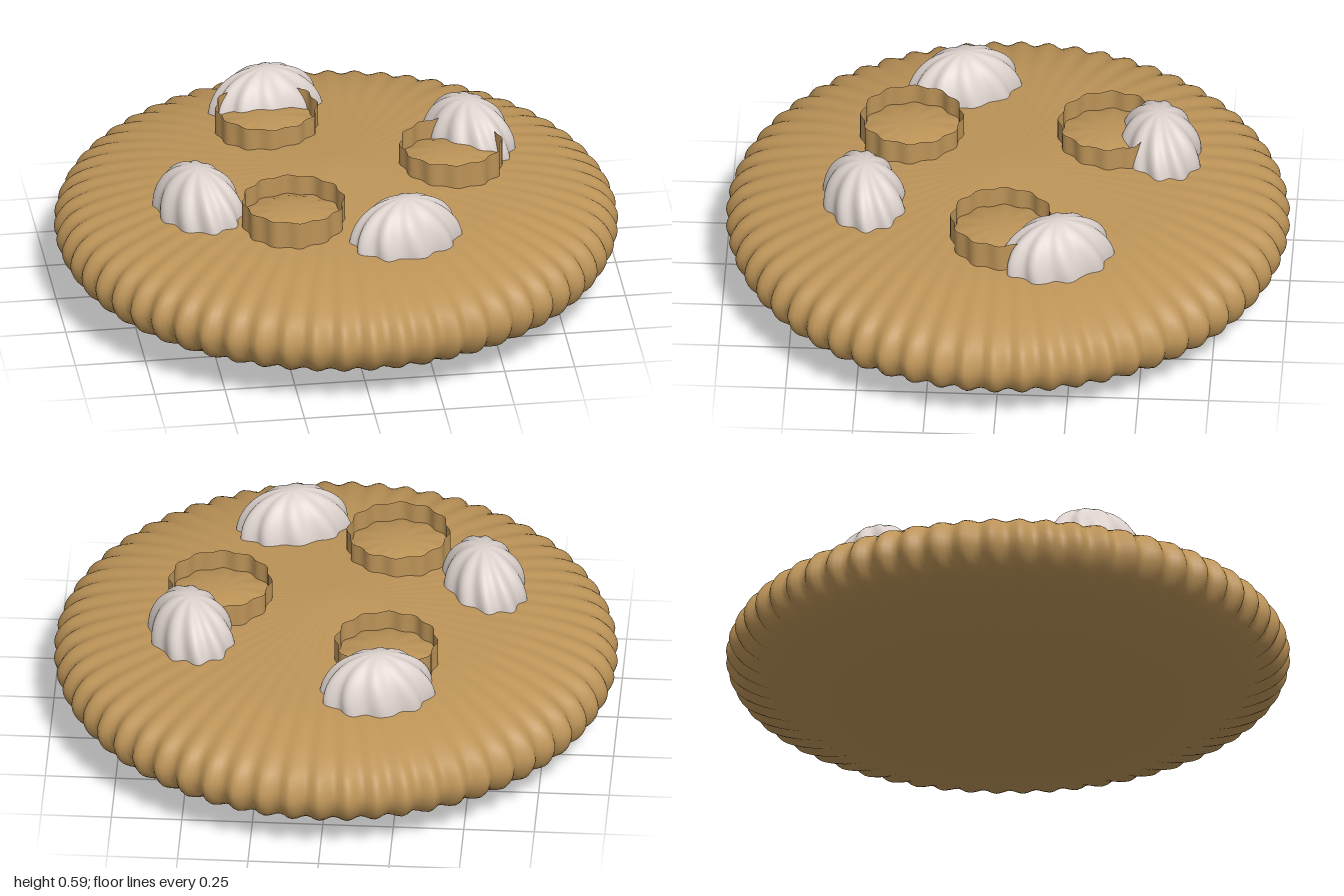
import * as THREE from 'three';
import { mergeVertices } from 'three/addons/utils/BufferGeometryUtils.js';

// Lathe whose radius is rippled around the axis; twist swirls the ripples with height
function ribbed(profile, lobes, amp, segments, twist = 0) {
  let geo = new THREE.LatheGeometry(profile, segments);
  const p = geo.attributes.position;
  for (let i = 0; i < p.count; i++) {
    const x = p.getX(i), z = p.getZ(i);
    const k = 1 + amp * Math.cos(lobes * (Math.atan2(x, z) + twist * p.getY(i)));
    p.setX(i, x * k);
    p.setZ(i, z * k);
  }
  geo.deleteAttribute('uv');
  geo.deleteAttribute('normal');
  geo = mergeVertices(geo, 1e-5);
  geo.computeVertexNormals();
  return geo;
}

const points = (list) => list.map(([x, y]) => new THREE.Vector2(x, y));

export function createModel() {
  const group = new THREE.Group();
  const crust = new THREE.MeshStandardMaterial({ name: 'golden crust', color: 0xbd9458 });
  const rimMat = new THREE.MeshStandardMaterial({ name: 'golden rim', color: 0xbd9458, side: THREE.DoubleSide });
  const cream = new THREE.MeshStandardMaterial({ name: 'cream', color: 0xddd2cd });

  const add = (parent, name, geo, mat) => {
    const mesh = new THREE.Mesh(geo, mat);
    mesh.name = name;
    parent.add(mesh);
    return mesh;
  };

  // Fluted lens-shaped base, coming to a shallow point above and below
  const half = [[0.33, 0.207], [0.63, 0.183], [0.8, 0.148], [0.905, 0.11], [0.96, 0.066], [0.985, 0]];
  const outline = [
    [0, 0],
    ...half.map(([r, h]) => [r, 0.24 - h]),
    ...half.slice(0, -1).reverse().map(([r, h]) => [r, 0.24 + h]),
    [0, 0.475],
  ];
  const basePoints = new THREE.SplineCurve(points(outline)).getPoints(36);
  basePoints.forEach((v) => { v.x = Math.max(0, v.x); });
  add(group, 'base', ribbed(basePoints, 60, 0.015, 360), crust);

  // Round scalloped slices: a standing rim around a gently domed filling
  const rimGeo = ribbed(points([[0.178, 0.39], [0.178, 0.46], [0.178, 0.53]]), 12, 0.035, 96);
  const fillGeo = ribbed(points([[0.177, 0.456], [0.13, 0.474], [0.07, 0.486], [0, 0.49]]), 12, 0.035, 96);
  for (const [x, z] of [[-0.2, -0.35], [0.41, 0], [-0.2, 0.35]]) {
    const slice = new THREE.Group();
    slice.name = 'slice';
    slice.position.set(x, 0, z);
    add(slice, 'sliceRim', rimGeo, rimMat);
    add(slice, 'sliceFilling', fillGeo, crust);
    group.add(slice);
  }

  // Oval swirled cream dollops: x, z, turn about the vertical axis
  const domePoints = [[1, -0.1]];
  for (let i = 0; i <= 14; i++) {
    const a = (i / 14) * Math.PI / 2;
    domePoints.push([Math.max(0, Math.cos(a)), Math.sin(a)]);
  }
  const dollopGeo = ribbed(points(domePoints), 10, 0.055, 100, 0.25);
  const dollops = [
    [-0.18, -0.53, 0.25], [0.5, -0.2, -1.15], [-0.515, 0.18, -1.2], [0.18, 0.5, 0.3],
  ];
  for (const [x, z, turn] of dollops) {
    const dollop = add(group, 'creamDollop', dollopGeo, cream);
    dollop.position.set(x, 0.41, z);
    dollop.rotation.y = turn;
    dollop.scale.set(0.2, 0.18, 0.14);
  }
  return group;
}
